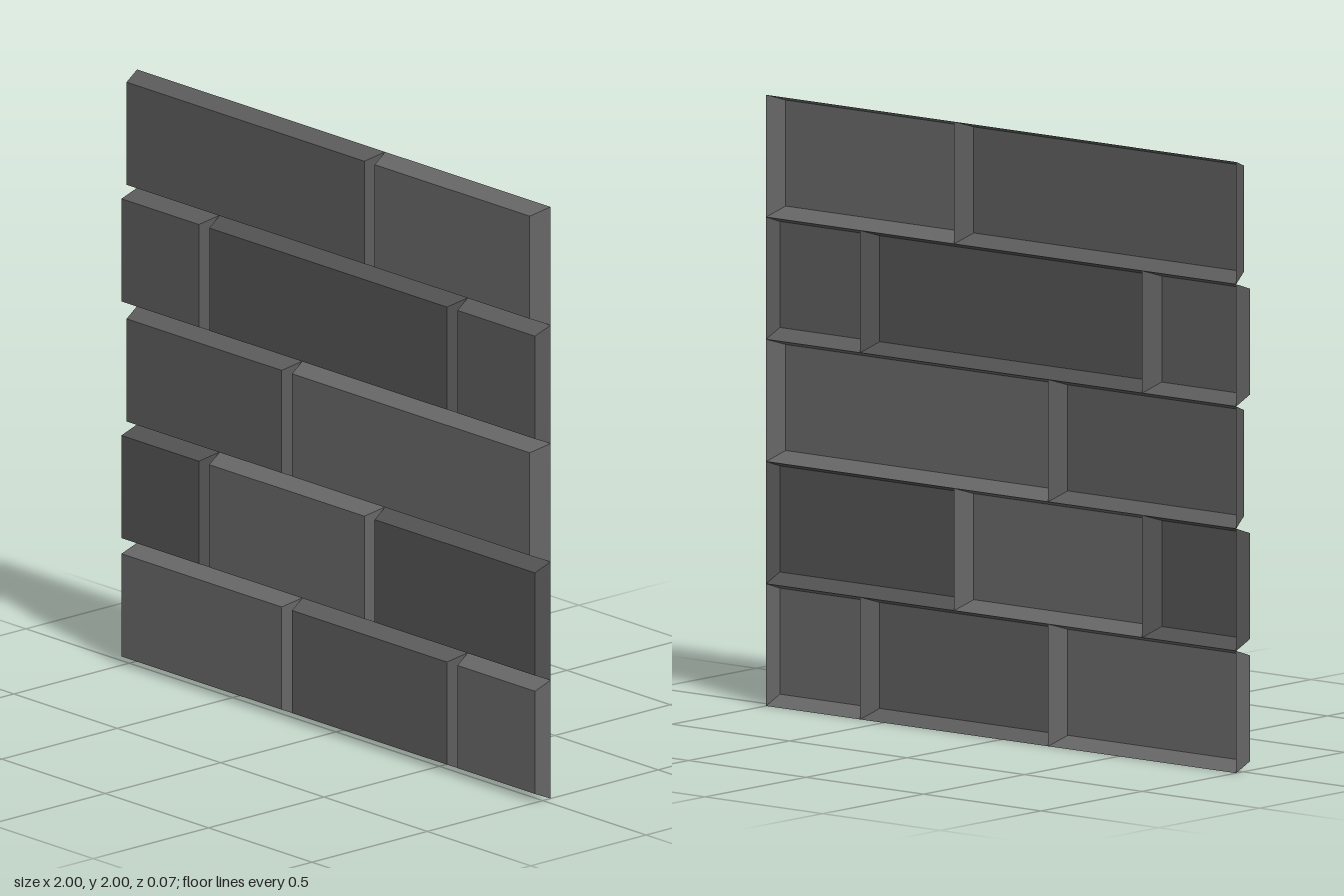
import * as THREE from 'three';

const HALF_DEPTH = 0.034, SIDE = 0.025, TOP = 0.023, BOTTOM = 0.03, ROW = 0.4;

const shade = (color) => new THREE.MeshStandardMaterial({ color, flatShading: true, side: THREE.DoubleSide });

// Rows from the bottom up: brick edges, brick tones, and whether the outer ends are bevelled
const ROWS = [
  { edges: [-1, -0.2, 0.6, 1], tones: ['light', 'mid', 'light'], bevelEnds: false },
  { edges: [-1, -0.6, 0.2, 1], tones: ['dark', 'light', 'dark'], bevelEnds: false },
  { edges: [-1, -0.2, 1], tones: ['mid', 'light'], bevelEnds: true },
  { edges: [-1, -0.6, 0.6, 1], tones: ['mid', 'dark', 'mid'], bevelEnds: false },
  { edges: [-1, 0.2, 1], tones: ['mid', 'light'], bevelEnds: true },
];

// Open-backed brick shell: a front face joined to a wider back rim by four walls
function brickGeometry(x0, x1, y0, y1, insetLeft, insetRight) {
  const rectangle = (l, r, b, t, z) => [[l, b, z], [r, b, z], [r, t, z], [l, t, z]];
  const back = rectangle(x0, x1, y0, y1, -HALF_DEPTH);
  const front = rectangle(x0 + insetLeft, x1 - insetRight, y0 + BOTTOM, y1 - TOP, HALF_DEPTH);
  const points = [];
  const quad = (a, b, c, d) => points.push(...a, ...b, ...c, ...a, ...c, ...d);
  quad(...front);
  for (let i = 0; i < 4; i++) {
    const j = (i + 1) % 4;
    quad(back[i], back[j], front[j], front[i]);
  }
  const geometry = new THREE.BufferGeometry();
  geometry.setAttribute('position', new THREE.Float32BufferAttribute(points, 3));
  geometry.computeVertexNormals();
  return geometry;
}

export function createModel() {
  const wall = new THREE.Group();
  wall.name = 'brickWall';
  const materials = { light: shade(0x666666), mid: shade(0x5c5c5c), dark: shade(0x525252) };

  ROWS.forEach(({ edges, tones, bevelEnds }, row) => {
    const course = new THREE.Group();
    course.name = `course${row + 1}`;
    tones.forEach((tone, i) => {
      // Cut bricks at the wall's ends stay square
      const left = i > 0 || bevelEnds ? SIDE : 0;
      const right = i < tones.length - 1 || bevelEnds ? SIDE : 0;
      const geometry = brickGeometry(edges[i], edges[i + 1], row * ROW, (row + 1) * ROW, left, right);
      const brick = new THREE.Mesh(geometry, materials[tone]);
      brick.name = `brick${row + 1}_${i + 1}`;
      course.add(brick);
    });
    wall.add(course);
  });
  return wall;
}
